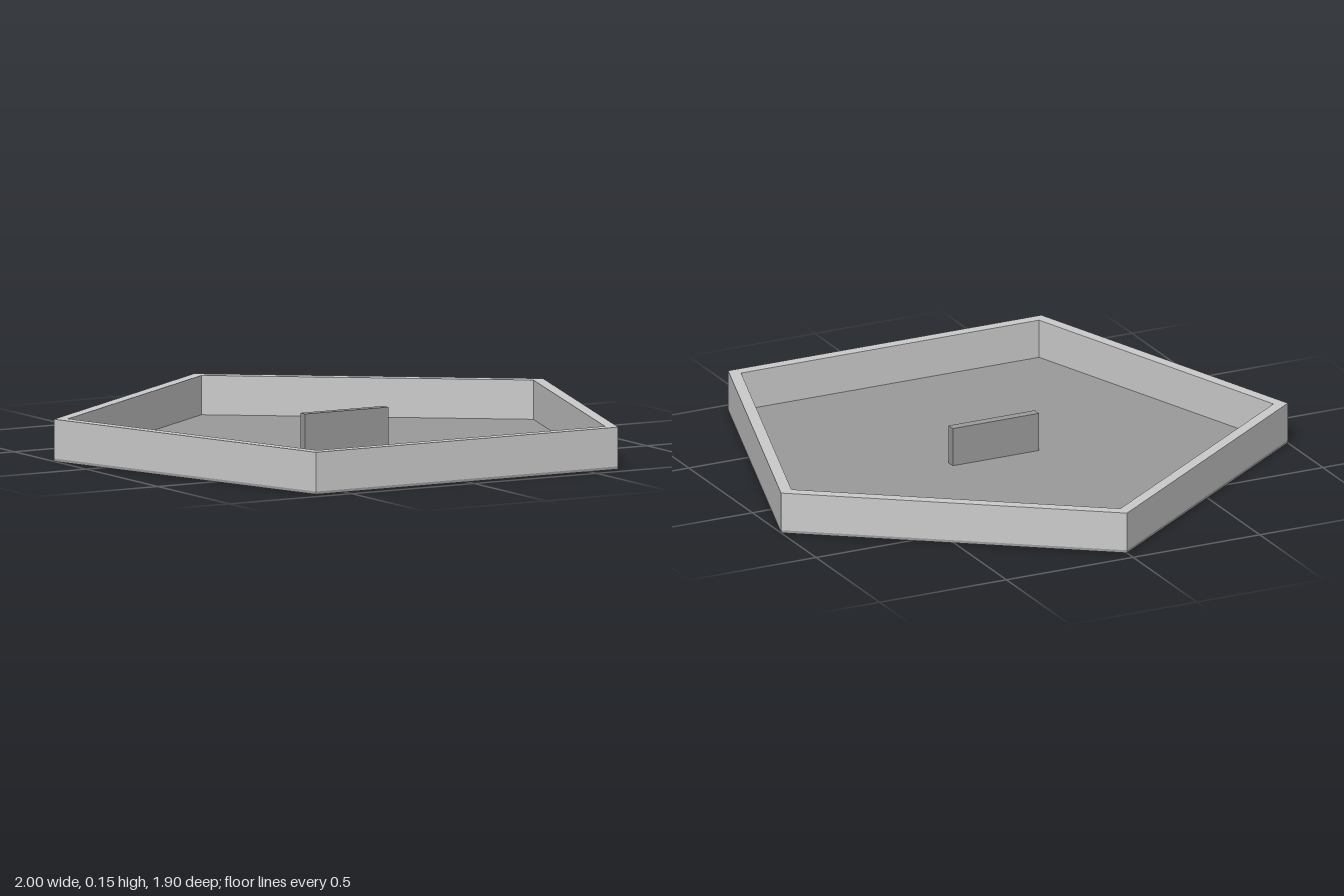
import * as THREE from 'three';

const OUTER = 1 / Math.sin(Math.PI * 0.4); // corner radius giving a width of 2
const INNER = 1.0;
const CENTRE_Z = 0.1;
const FLOOR = 0.01;
const HEIGHT = 0.15;

// Regular pentagon with one corner pointing to the back
function pentagon(radius) {
  const points = [];
  for (let i = 0; i < 5; i++) {
    const a = Math.PI / 2 + (i * Math.PI * 2) / 5;
    points.push(new THREE.Vector2(radius * Math.cos(a), radius * Math.sin(a)));
  }
  return points;
}

// Upright extrusion of a flat outline, from y to y + height
function slab(shape, y, height) {
  const geometry = new THREE.ExtrudeGeometry(shape, { depth: height, bevelEnabled: false });
  geometry.rotateX(-Math.PI / 2);
  geometry.translate(0, y, CENTRE_Z);
  return geometry;
}

export function createModel() {
  const model = new THREE.Group();
  model.name = 'pentagonTray';
  const wallMaterial = new THREE.MeshStandardMaterial({ color: 0xcccccc });
  const floorMaterial = new THREE.MeshStandardMaterial({ color: 0x9b9b9b });

  const add = (name, geometry, material) => {
    const mesh = new THREE.Mesh(geometry, material);
    mesh.name = name;
    model.add(mesh);
    return mesh;
  };

  // Thin floor plate reaching the outer edge
  add('floor', slab(new THREE.Shape(pentagon(OUTER)), 0, FLOOR), floorMaterial);

  // Rim wall around the floor
  const rim = new THREE.Shape(pentagon(OUTER));
  rim.holes.push(new THREE.Path(pentagon(INNER)));
  add('rimWall', slab(rim, FLOOR, HEIGHT - FLOOR), wallMaterial);

  // Small upright divider near the middle
  const divider = add('divider', new THREE.BoxGeometry(0.34, HEIGHT - FLOOR, 0.034), floorMaterial);
  divider.position.set(0, (HEIGHT + FLOOR) / 2, 0.095);

  return model;
}
